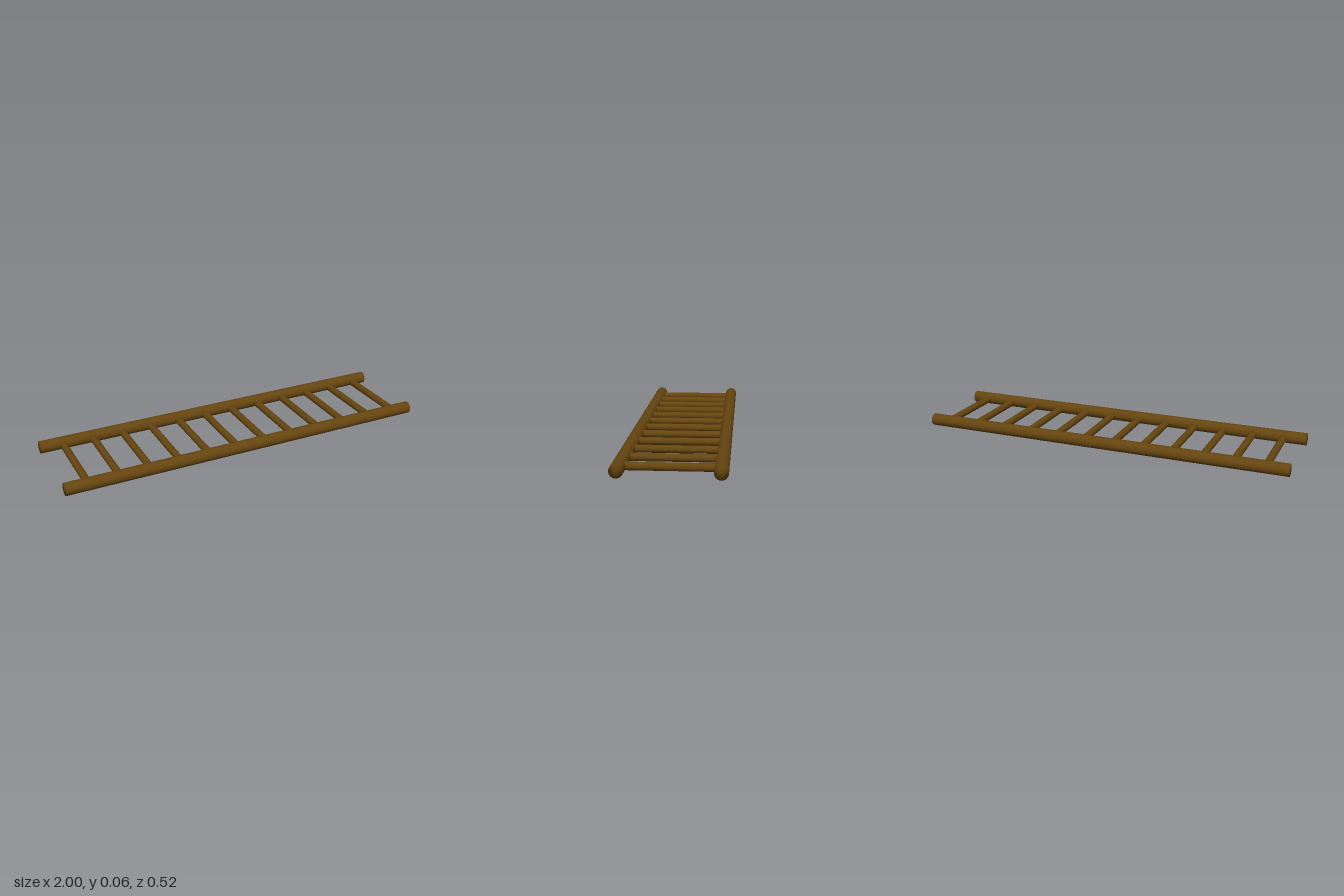
import * as THREE from 'three';
import { mergeVertices } from 'three/addons/utils/BufferGeometryUtils.js';

const wood = new THREE.MeshStandardMaterial({ color: 0x65450f });

// Closed round pole whose shading runs softly over the end edges
function pole(radius, length, sides) {
  let geometry = new THREE.CylinderGeometry(radius, radius, length, sides);
  geometry.deleteAttribute('normal');
  geometry.deleteAttribute('uv');
  geometry = mergeVertices(geometry);
  geometry.computeVertexNormals();
  return geometry;
}

export function createModel() {
  const ladder = new THREE.Group();
  ladder.name = 'ladder';

  const railRadius = 0.0325;
  const railZ = 0.228;

  // Two long side rails lying along x
  const railGeometry = pole(railRadius, 2, 32).rotateZ(Math.PI / 2);
  for (const side of [1, -1]) {
    const rail = new THREE.Mesh(railGeometry, wood);
    rail.name = side > 0 ? 'frontRail' : 'backRail';
    rail.position.set(0, railRadius, side * railZ);
    ladder.add(rail);
  }

  // Twelve rungs, evenly spaced, ending inside the rails
  const rungCount = 12;
  const firstX = -0.88;
  const lastX = 0.906;
  const rungGeometry = pole(0.0192, railZ * 2, 32).rotateX(Math.PI / 2);
  for (let i = 0; i < rungCount; i++) {
    const rung = new THREE.Mesh(rungGeometry, wood);
    rung.name = `rung${i + 1}`;
    rung.position.set(firstX + ((lastX - firstX) * i) / (rungCount - 1), railRadius, 0);
    ladder.add(rung);
  }

  return ladder;
}
